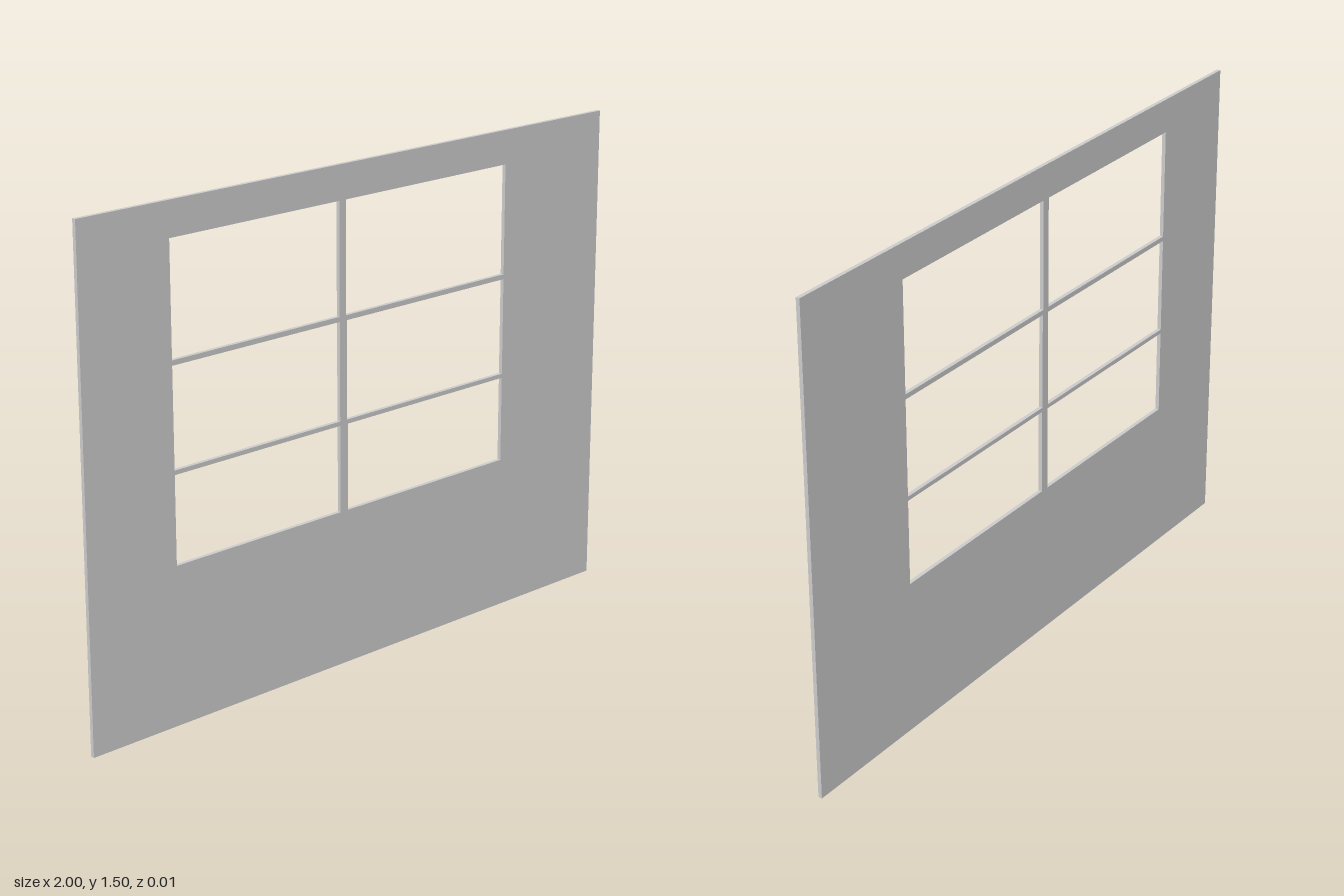
import * as THREE from 'three';

const WIDTH = 2, HEIGHT = 1.497, DEPTH = 0.012;

// Window panes: rows as [bottom, top, mullion left edge, mullion right edge]
const LEFT = -0.695, RIGHT = 0.586;
const ROWS = [
  [0.475, 0.737, -0.082, -0.053],
  [0.75, 1.045, -0.083, -0.056],
  [1.06, 1.394, -0.084, -0.059],
];

function rectangle(PathType, x0, y0, x1, y1) {
  return new PathType([
    new THREE.Vector2(x0, y0),
    new THREE.Vector2(x1, y0),
    new THREE.Vector2(x1, y1),
    new THREE.Vector2(x0, y1),
  ]);
}

export function createModel() {
  const group = new THREE.Group();
  group.name = 'windowWall';

  // Thin wall with six openings; the strips left between them are the glazing bars
  const outline = rectangle(THREE.Shape, -WIDTH / 2, 0, WIDTH / 2, HEIGHT);
  for (const [bottom, top, barLeft, barRight] of ROWS) {
    outline.holes.push(rectangle(THREE.Path, LEFT, bottom, barLeft, top));
    outline.holes.push(rectangle(THREE.Path, barRight, bottom, RIGHT, top));
  }

  const geometry = new THREE.ExtrudeGeometry(outline, { depth: DEPTH, bevelEnabled: false });
  geometry.translate(0, 0, -DEPTH / 2);

  const wall = new THREE.Mesh(geometry, new THREE.MeshStandardMaterial({ color: 0xcccccc }));
  wall.name = 'wallWithWindowBars';
  group.add(wall);
  return group;
}
